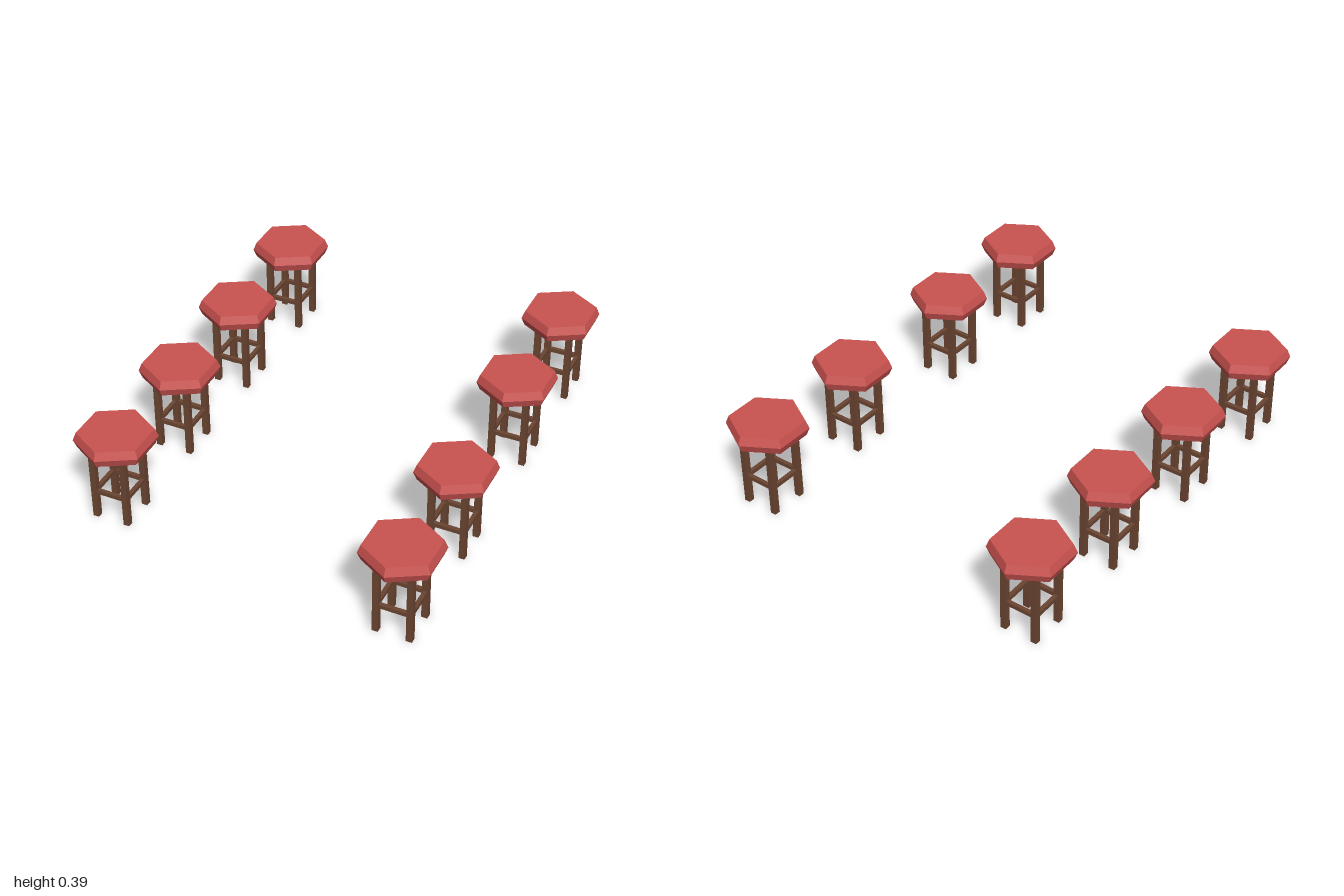
import * as THREE from 'three';

const cushionRed = new THREE.MeshStandardMaterial({ color: 0xc9524f, flatShading: true });
cushionRed.name = 'cushionRed';
const woodBrown = new THREE.MeshStandardMaterial({ color: 0x6b4532 });
woodBrown.name = 'woodBrown';

const LEG_X = 0.069, LEG_Z = 0.072, LEG = 0.025, BAR = 0.017;

// Hexagonal cushion, widest at mid height, with corners along z
const seatGeometry = new THREE.LatheGeometry([
  new THREE.Vector2(0, 0.322),
  new THREE.Vector2(0.153, 0.322),
  new THREE.Vector2(0.167, 0.356),
  new THREE.Vector2(0.153, 0.391),
  new THREE.Vector2(0, 0.391),
], 6);
const legGeometry = new THREE.BoxGeometry(LEG, 0.324, LEG);
const barXGeometry = new THREE.BoxGeometry(LEG_X * 2 - LEG, BAR, BAR);
const barZGeometry = new THREE.BoxGeometry(BAR, BAR, LEG_Z * 2 - LEG);

function add(group, name, geometry, material, x, y, z) {
  const mesh = new THREE.Mesh(geometry, material);
  mesh.name = name;
  mesh.position.set(x, y, z);
  group.add(mesh);
}

function createStool(x, z) {
  const stool = new THREE.Group();
  stool.name = 'stool';
  add(stool, 'seat', seatGeometry, cushionRed, 0, 0, 0);
  for (const s of [-1, 1]) {
    for (const t of [-1, 1]) add(stool, 'leg', legGeometry, woodBrown, s * LEG_X, 0.162, t * LEG_Z);
    // Stretchers joining neighbouring legs
    add(stool, 'crossStretcher', barXGeometry, woodBrown, 0, 0.124, s * LEG_Z);
    add(stool, 'sideStretcher', barZGeometry, woodBrown, s * LEG_X, 0.124, 0);
  }
  stool.position.set(x, 0, z);
  return stool;
}

export function createModel() {
  const model = new THREE.Group();
  model.name = 'stools';
  // Two rows, with a wider gap in the middle of the left row
  for (const z of [-0.833, -0.322, 0.19, 0.701]) model.add(createStool(-0.638, z));
  for (const z of [-0.833, -0.322, 0.322, 0.833]) model.add(createStool(0.638, z));
  return model;
}
